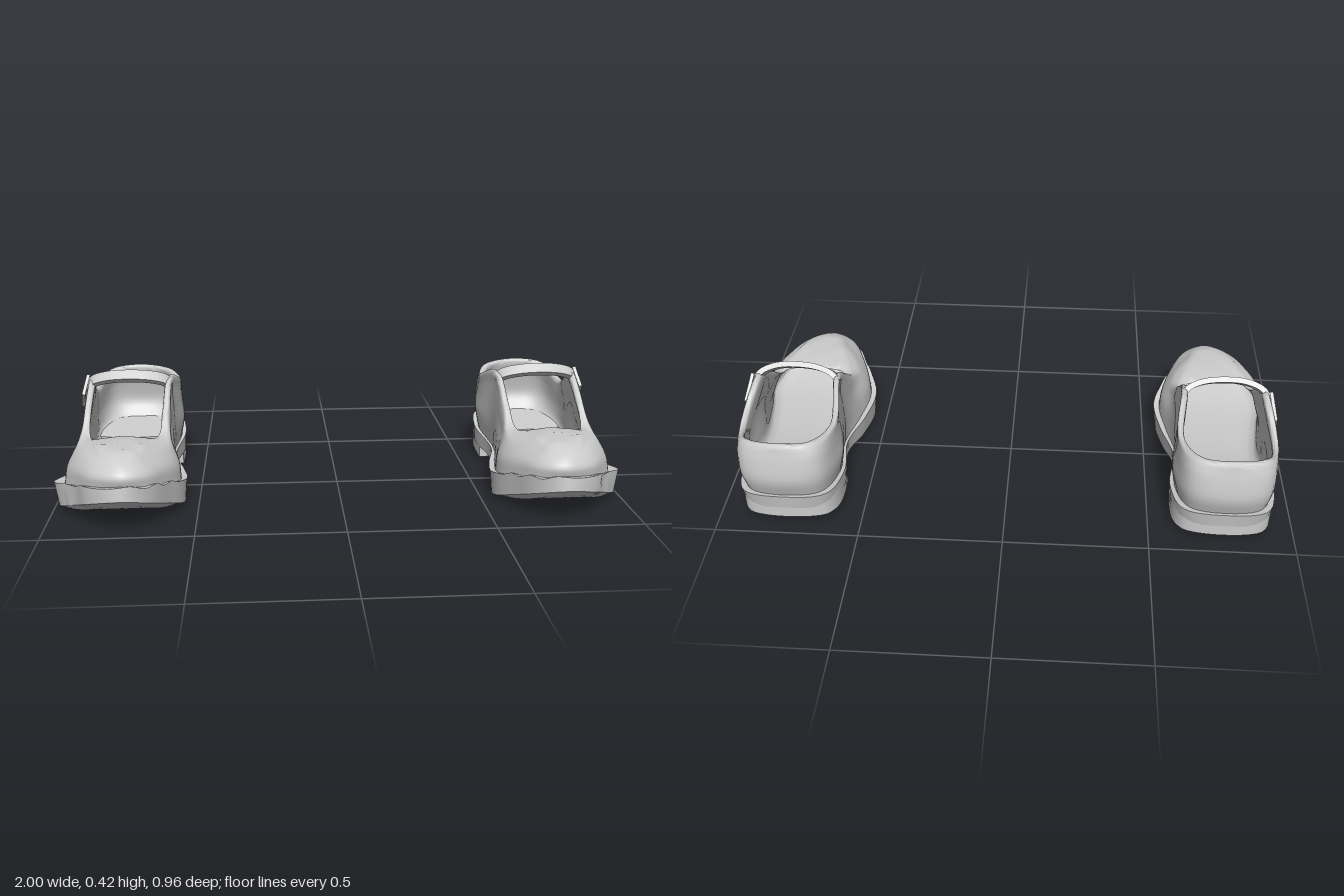
import * as THREE from 'three';
import { toCreasedNormals } from 'three/addons/utils/BufferGeometryUtils.js';

const material = new THREE.MeshStandardMaterial({ color: 0xcccccc, side: THREE.DoubleSide });

// Rings list stations from heel to toe as [z, y, inner x, outer x, extra height of the inner side].
const base = [[-.455, .13, .75, .75], [-.43, .13, .63, .87], [-.3, .115, .588, .92], [-.1, .085, .608, .92],
  [.06, .08, .578, .94], [.2, .09, .56, .96], [.33, .122, .605, .895], [.41, .145, .655, .83], [.445, .15, .735, .735]];
const bulge = [[-.482, .21, .75, .75], [-.45, .21, .62, .88], [-.3, .19, .575, .925], [-.1, .18, .6, .92],
  [.06, .15, .585, .937], [.19, .15, .565, .95], [.33, .175, .612, .89], [.415, .183, .66, .825], [.452, .185, .735, .735]];
const shoulder = [[-.475, .28, .75, .75], [-.445, .28, .62, .88], [-.3, .245, .58, .925], [-.1, .28, .6, .917],
  [.06, .21, .597, .92], [.18, .205, .59, .92], [.315, .22, .65, .86], [.385, .223, .69, .8], [.416, .221, .74, .74]];
const vamp = [[-.466, .32, .75, .75], [-.437, .318, .625, .875], [-.3, .275, .583, .924, .02], [-.1, .34, .602, .907],
  [.05, .262, .602, .91], [.15, .225, .605, .905], [.24, .237, .65, .855], [.315, .246, .69, .815], [.34, .247, .75, .75]];
const rim = [[-.455, .355, .75, .75], [-.425, .345, .64, .865], [-.3, .298, .585, .92, .035], [-.1, .388, .604, .897],
  [.035, .3, .612, .9], [.115, .237, .62, .892], [.148, .23, .64, .878], [.163, .237, .69, .825], [.166, .243, .755, .755]];

const tread = [[-.42, .078, .75, .75], [-.4, .073, .655, .845], [-.3, .058, .615, .885], [-.1, .018, .645, .89, .012],
  [.06, .004, .605, .91], [.2, .004, .585, .955], [.33, .037, .63, .88], [.42, .077, .68, .81], [.465, .106, .735, .735]];
const soleBottom = [[-.46, .08, .75, .75], [-.43, .075, .615, .885], [-.3, .06, .575, .925], [-.1, .018, .602, .93, .018],
  [.06, .006, .568, .95], [.2, .01, .548, .985], [.33, .055, .597, .905], [.42, .09, .65, .85], [.478, .115, .735, .735]];
const soleTop = [[-.47, .14, .75, .75], [-.445, .14, .61, .89], [-.3, .12, .572, .932], [-.1, .09, .598, .933],
  [.06, .085, .558, .955], [.2, .095, .54, .998], [.33, .128, .592, .905], [.42, .148, .645, .855], [.472, .16, .735, .735]];

// Shrinks a ring horizontally by d and lowers it by drop.
const inset = (ring, d, drop = 0) => ring.map(([z, y, a, b, lift], i) => {
  const last = ring.length - 1, tip = i === 0 || i === last;
  const dz = d * (tip ? 1 : i === 1 || i === last - 1 ? .7 : 0) * (i < 2 ? 1 : -1);
  return [z + dz, y - drop, a + (tip ? 0 : d), b - (tip ? 0 : d), lift];
});
// Collapses a ring onto its centre line, which closes a loft.
const spine = ring => ring.map(([z, y, a, b]) => [z, y, (a + b) / 2, (a + b) / 2]);

// Closed smooth loop: heel, outer side, toe, inner side.
function loop(ring) {
  const pts = ring.map(([z, y, , b]) => new THREE.Vector3(b, y, z));
  for (const [z, y, a, , lift = 0] of ring.slice(1, -1).reverse()) pts.push(new THREE.Vector3(a, y + lift, z));
  const curve = new THREE.CatmullRomCurve3(pts, true);
  const n = pts.length * 6;
  return Array.from({ length: n }, (_, i) => curve.getPoint(i / n));
}

function skin(rows, closedEnds = false) {
  const n = rows[0].length, index = [];
  for (let r = 0; r < rows.length - 1; r++) for (let i = 0; i < n; i++) {
    const j = (i + 1) % n, a = r * n + i, b = a + n, c = r * n + j, d = c + n;
    index.push(a, b, c, c, b, d);
  }
  if (closedEnds) for (let i = 1; i < n - 1; i++) {
    const e = (rows.length - 1) * n;
    index.push(0, i, i + 1, e, e + i + 1, e + i);
  }
  const g = new THREE.BufferGeometry();
  g.setAttribute('position', new THREE.Float32BufferAttribute(rows.flat().flatMap(p => p.toArray()), 3));
  g.setIndex(index);
  g.computeVertexNormals();
  return g;
}

// Upper: outside wall, rounded rim, lining and insole in one continuous skin.
function upperGeometry() {
  const rings = [base, bulge, shoulder, vamp, rim, inset(rim, .016, .003), inset(vamp, .022, .016),
    inset(shoulder, .022, .014), inset(bulge, .022, .01), inset(base, .032, -.015),
    spine(inset(base, .032, -.012))].map(loop);
  const steps = (rings.length - 1) * 4;
  const columns = rings[0].map((_, i) => new THREE.CatmullRomCurve3(rings.map(r => r[i])));
  const rows = Array.from({ length: steps + 1 }, (_, s) => columns.map(c => c.getPoint(s / steps)));
  // Soft flex wrinkles over the vamp
  for (const p of rows.slice(6, 16).flat()) {
    const fade = Math.max(0, 1 - Math.abs(p.z - .29) / .11) * Math.max(0, 1 - Math.abs(p.x - .755) / .16);
    p.y += .006 * fade * Math.sin(p.z * 55 + Math.sin(p.x * 45) * 1.5);
  }
  return toCreasedNormals(skin(rows), 1.2);
}

// Sole: pinched waist, upturned toe and a welt around the upper
function soleGeometry() {
  const rings = [spine(tread), tread, soleBottom, soleTop, inset(soleTop, .03, .004), spine(inset(soleTop, .03, .012))];
  const rows = rings.map(loop);
  // Worn, slightly uneven edge around the toe
  for (const p of rows[3]) {
    p.y += .006 * THREE.MathUtils.smoothstep(p.z, .2, .34) * Math.sin(p.z * 60 + p.x * 25);
  }
  return toCreasedNormals(skin(rows), .7);
}

// Extrudes a floor plan upwards and tilts it so that it rises to the back.
function slab(shape, depth, y, slope) {
  const g = new THREE.ExtrudeGeometry(shape, { depth, bevelEnabled: false, curveSegments: 10 });
  g.rotateX(-Math.PI / 2);
  const p = g.attributes.position;
  for (let i = 0; i < p.count; i++) p.setY(i, p.getY(i) + y + slope * (-p.getZ(i) - .23));
  return toCreasedNormals(g, .6);
}

// Heel block: rounded back and straight breast
function heelGeometry() {
  const s = new THREE.Shape();
  s.moveTo(.582, .23);
  s.lineTo(.927, .23);
  s.bezierCurveTo(.93, .36, .92, .4, .885, .435);
  s.bezierCurveTo(.84, .469, .66, .469, .615, .435);
  s.bezierCurveTo(.58, .4, .57, .36, .582, .23);
  return slab(s, .08, .01, .13);
}

// Heel pad lying on the insole, with its edges under the lining
function padGeometry() {
  const s = new THREE.Shape();
  s.moveTo(.612, .23);
  s.quadraticCurveTo(.755, .2, .897, .23);
  s.lineTo(.893, .33);
  s.quadraticCurveTo(.87, .44, .75, .443);
  s.quadraticCurveTo(.63, .44, .615, .33);
  return slab(s, .012, .113, .12);
}

// Strap: flat band growing out of the inner rim and lying on the outer wall
function strapGeometry() {
  const path = new THREE.CatmullRomCurve3([[.609, .364, -.096], [.63, .382, -.082], [.68, .397, -.068],
    [.755, .403, -.062], [.83, .398, -.066], [.886, .378, -.085], [.911, .335, -.12], [.922, .3, -.15]]
    .map(p => new THREE.Vector3(...p)));
  const across = new THREE.Vector3(0, .65, -.76), rows = [];
  for (let i = 0; i <= 32; i++) {
    const c = path.getPoint(i / 32), out = across.clone().cross(path.getTangent(i / 32)).normalize();
    rows.push([[1, 1], [1, -1], [-1, -1], [-1, 1]].map(([u, v]) =>
      c.clone().addScaledVector(across, u * .021).addScaledVector(out, v * .01)));
  }
  return toCreasedNormals(skin(rows, true), .7);
}

// Buckle: rectangular frame turned to follow the strap
function buckleGeometry() {
  const rect = (C, w, h) => new C([[-w, -h], [w, -h], [w, h], [-w, h]].map(p => new THREE.Vector2(...p)));
  const s = rect(THREE.Shape, .051, .042);
  s.holes.push(rect(THREE.Path, .041, .032));
  const g = new THREE.ExtrudeGeometry(s, { depth: .012, bevelEnabled: false });
  return g.rotateZ(-.72).rotateX(-.22).rotateY(Math.PI / 2).translate(.915, .333, -.126);
}

// Mirrored copy across x = 0 with the corner order put right
function mirrored(geometry) {
  const g = geometry.clone().scale(-1, 1, 1);
  for (const a of [g.attributes.position, g.attributes.normal]) for (let i = 0; i < a.count; i += 3) {
    const b = [a.getX(i + 1), a.getY(i + 1), a.getZ(i + 1)];
    a.setXYZ(i + 1, a.getX(i + 2), a.getY(i + 2), a.getZ(i + 2));
    a.setXYZ(i + 2, ...b);
  }
  return g;
}

export function createModel() {
  const parts = { upper: upperGeometry(), sole: soleGeometry(), heel: heelGeometry(),
    heelPad: padGeometry(), strap: strapGeometry(), buckle: buckleGeometry() };
  const model = new THREE.Group();
  model.name = 'pairOfShoes';
  for (const side of ['left', 'right']) {
    const shoe = new THREE.Group();
    shoe.name = side + 'Shoe';
    for (const [name, geometry] of Object.entries(parts)) {
      const mesh = new THREE.Mesh(side === 'left' ? geometry : mirrored(geometry), material);
      mesh.name = name;
      shoe.add(mesh);
    }
    model.add(shoe);
  }
  return model;
}
